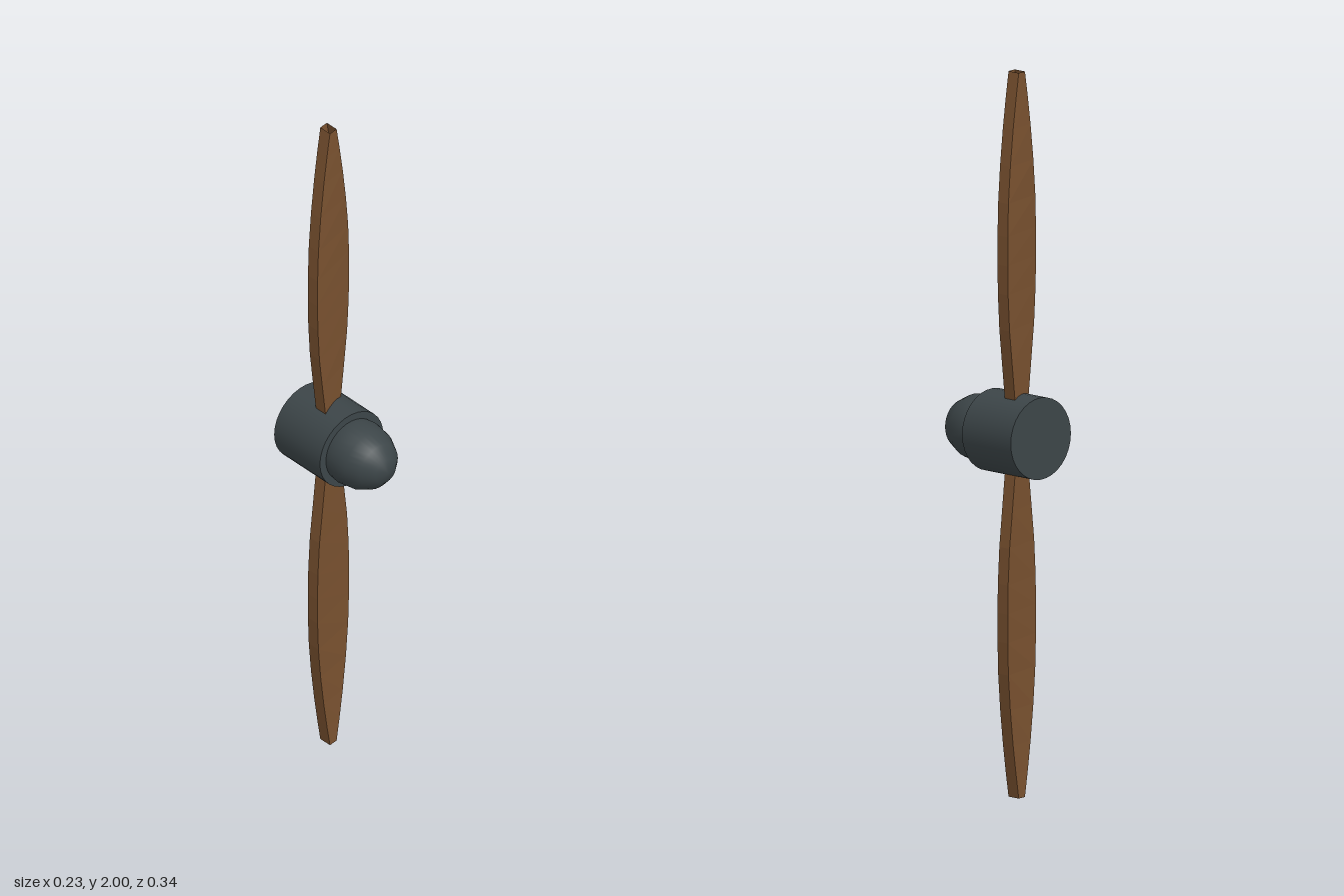
import * as THREE from 'three';

const wood = new THREE.MeshStandardMaterial({ color: 0x7a5230, side: THREE.DoubleSide });
wood.name = 'brown wood';
const metal = new THREE.MeshStandardMaterial({ color: 0x3c4548 });
metal.name = 'dark grey metal';

const HUB_Y = 1;
const BLADE_Z = -0.078;
const HALF_THICK = 0.02;

// Blade sections: distance from hub centre, half width, slant (dz/dx)
const SECTIONS = [
  [0.05, 0.033, 0.45], [0.11, 0.045, 0.43], [0.2, 0.06, 0.42], [0.3, 0.075, 0.4],
  [0.4, 0.082, 0.385], [0.48, 0.083, 0.375], [0.56, 0.081, 0.36], [0.65, 0.074, 0.33],
  [0.75, 0.06, 0.29], [0.85, 0.043, 0.25], [0.93, 0.028, 0.22], [1.0, 0.014, 0.18],
];

// Slanted, twisted blade with an open tip; dir is +1 for up, -1 for down
function bladeGeometry(dir) {
  const rings = SECTIONS.map(([d, w, slant]) =>
    [[-1, 1], [1, 1], [1, -1], [-1, -1]].map(([sx, sz]) =>
      [sx * w, dir * d, sz * HALF_THICK - sx * w * slant]));
  const pos = [];
  for (let i = 0; i < rings.length - 1; i++) {
    for (let j = 0; j < 4; j++) {
      const k = (j + 1) % 4;
      const a = rings[i][j], b = rings[i][k], c = rings[i + 1][k], d = rings[i + 1][j];
      const quad = dir > 0 ? [a, b, c, a, c, d] : [a, c, b, a, d, c];
      quad.forEach((p) => pos.push(...p));
    }
  }
  const g = new THREE.BufferGeometry();
  g.setAttribute('position', new THREE.Float32BufferAttribute(pos, 3));
  g.computeVertexNormals();
  return g;
}

export function createModel() {
  const model = new THREE.Group();
  model.name = 'propeller';

  const add = (name, geometry, material, z) => {
    const mesh = new THREE.Mesh(geometry, material);
    mesh.name = name;
    mesh.position.set(0, HUB_Y, z);
    model.add(mesh);
  };

  // Hub drum along z
  add('hub', new THREE.CylinderGeometry(0.113, 0.113, 0.19, 32).rotateX(Math.PI / 2), metal, -0.077);

  // Rounded nose, its pole facing forward
  add('noseCone', new THREE.SphereGeometry(0.095, 32, 8).rotateX(Math.PI / 2).scale(1, 1, 0.13 / 0.095), metal, 0.04);

  // Two mirrored blades
  add('upperBlade', bladeGeometry(1), wood, BLADE_Z);
  add('lowerBlade', bladeGeometry(-1), wood, BLADE_Z);

  return model;
}
